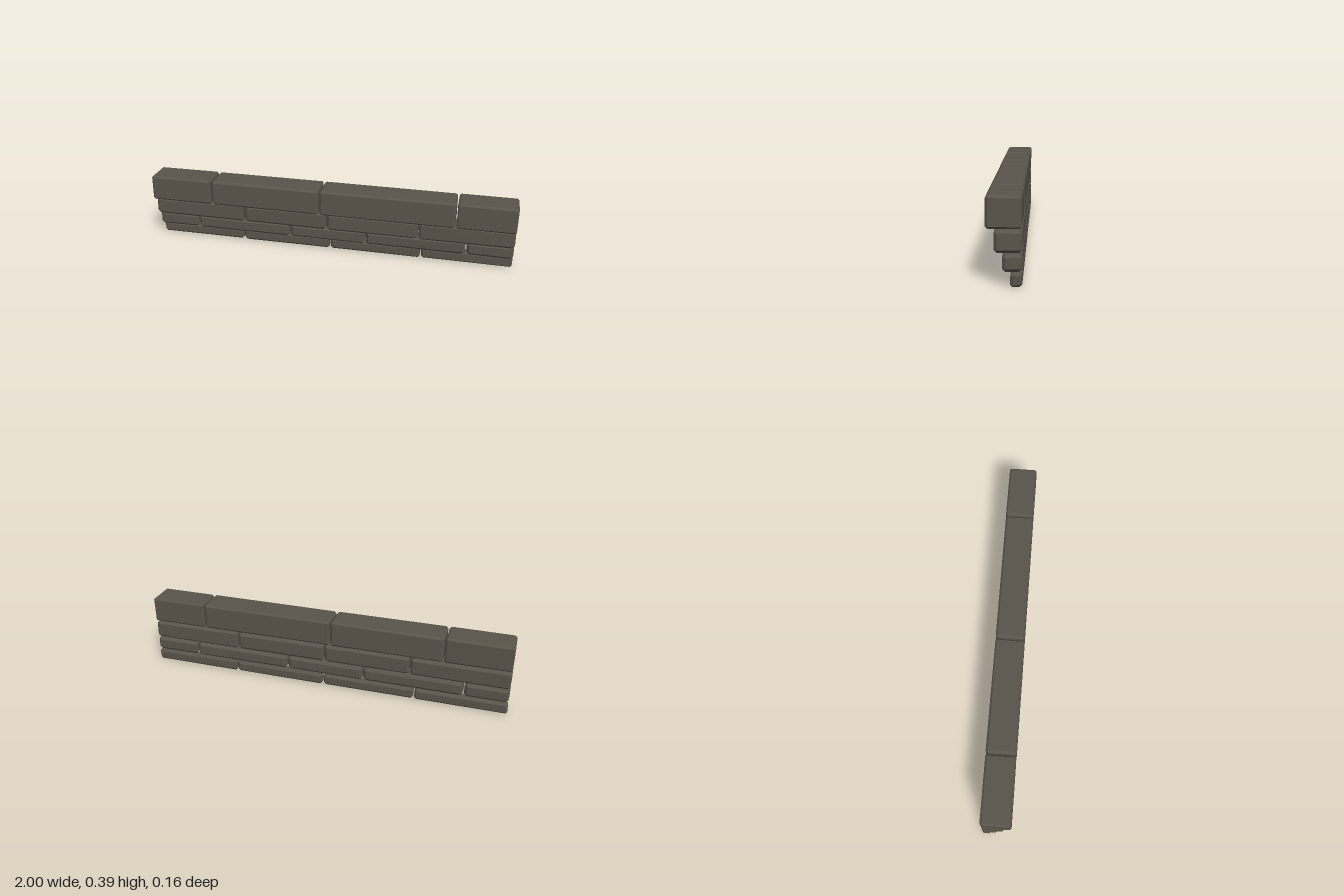
import * as THREE from 'three';
import { ConvexGeometry } from 'three/addons/geometries/ConvexGeometry.js';

// Seeded random in [-1, 1] for slightly uneven stones
let seed = 7;
function wobble(amount) {
  seed = (seed * 16807) % 2147483647;
  return (seed / 2147483647 * 2 - 1) * amount;
}

// Chamfered block between two corners, with hand-cut unevenness
function stoneGeometry(min, max, bevel) {
  const centre = min.clone().add(max).multiplyScalar(0.5);
  const half = max.clone().sub(min).multiplyScalar(0.5);
  const points = [];
  for (const sx of [-1, 1]) for (const sy of [-1, 1]) for (const sz of [-1, 1]) {
    const b = bevel + wobble(0.002);
    for (const axis of ['x', 'y', 'z']) {
      // One point per adjoining face: flush on that axis, inset on the others
      const p = half.clone().subScalar(b);
      p[axis] = half[axis] - 0.001 + wobble(0.001);
      p.multiply(new THREE.Vector3(sx, sy, sz)).add(centre);
      points.push(p);
    }
  }
  return new ConvexGeometry(points);
}

export function createModel() {
  seed = 7;
  const group = new THREE.Group();
  group.name = 'steppedStoneCornice';
  const stone = new THREE.MeshStandardMaterial({ color: 0x59544a, flatShading: true });
  stone.name = 'darkStone';

  // Courses from bottom to top; each overhangs the one below towards the front
  const courses = [
    { name: 'bottomCourse', y: [0, 0.064], front: -0.027, bevel: 0.012, joints: [-1, -0.507, 0, 0.507, 1] },
    { name: 'lowerCourse', y: [0.066, 0.144], front: 0.008, bevel: 0.015, joints: [-1, -0.766, -0.224, 0.204, 0.75, 1] },
    { name: 'upperCourse', y: [0.147, 0.246], front: 0.043, bevel: 0.013, joints: [-1, -0.477, -0.007, 0.495, 1] },
    { name: 'topCourse', y: [0.249, 0.391], front: 0.078, bevel: 0.011, joints: [-1, -0.65, -0.04, 0.69, 1] },
  ];
  const back = -0.078;
  const gap = 0.003;

  for (const { name, y, front, bevel, joints } of courses) {
    const course = new THREE.Group();
    course.name = name;
    for (let i = 0; i < joints.length - 1; i++) {
      const x0 = joints[i] + (i > 0 ? gap : 0);
      const x1 = joints[i + 1] - (i < joints.length - 2 ? gap : 0);
      const block = new THREE.Mesh(
        stoneGeometry(new THREE.Vector3(x0, y[0], back), new THREE.Vector3(x1, y[1], front), bevel),
        stone
      );
      block.name = `stoneBlock${i + 1}`;
      course.add(block);
    }
    group.add(course);
  }
  return group;
}
